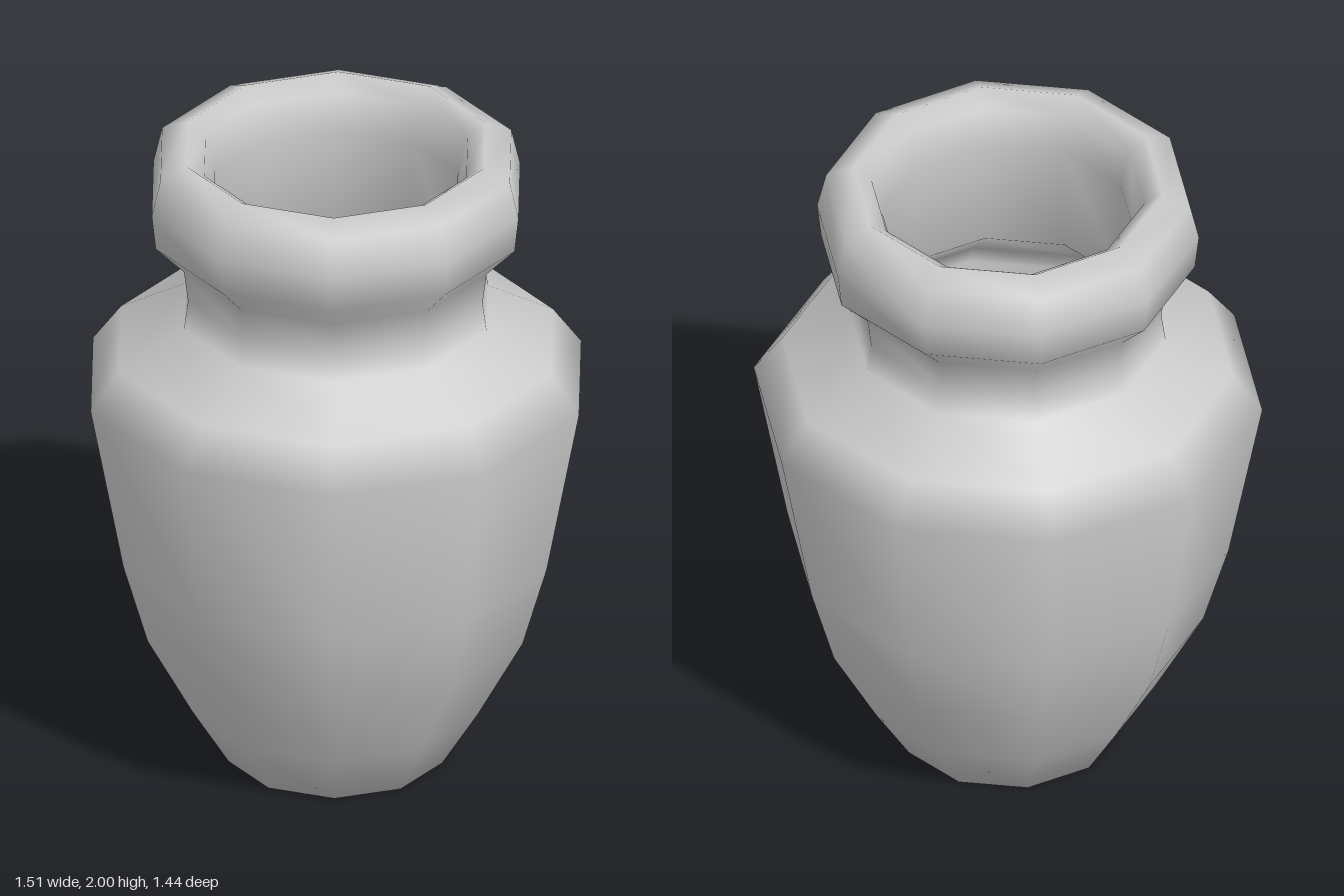
import * as THREE from 'three';

const SIDES = 10;

// Profiles as [radius, height]
const outside = [
  [0, 0], [0.33, 0], [0.44, 0.18], [0.58, 0.44], [0.655, 0.7], [0.755, 1.23],
  [0.668, 1.35], [0.468, 1.46], [0.455, 1.55], [0.468, 1.65],
  [0.555, 1.74], [0.567, 1.85], [0.54, 1.965], [0.46, 2],
];
const inside = [
  [0.46, 2], [0.405, 1.96], [0.375, 1.85], [0.38, 1.5], [0.56, 1.33], [0.64, 1.22],
  [0.57, 0.7], [0.49, 0.45], [0.33, 0.2], [0, 0.1],
];

export function createModel() {
  const group = new THREE.Group();
  group.name = 'vase';
  const material = new THREE.MeshStandardMaterial({ color: 0xcccccc, side: THREE.DoubleSide });

  // One continuous ten-sided wall: base, body, neck, rolled lip and hollow interior
  const points = [...outside, ...inside.slice(1)].map(([r, y]) => new THREE.Vector2(r, y));
  const wall = new THREE.Mesh(new THREE.LatheGeometry(points, SIDES, Math.PI / 2), material);
  wall.name = 'vaseBody';
  group.add(wall);
  return group;
}
